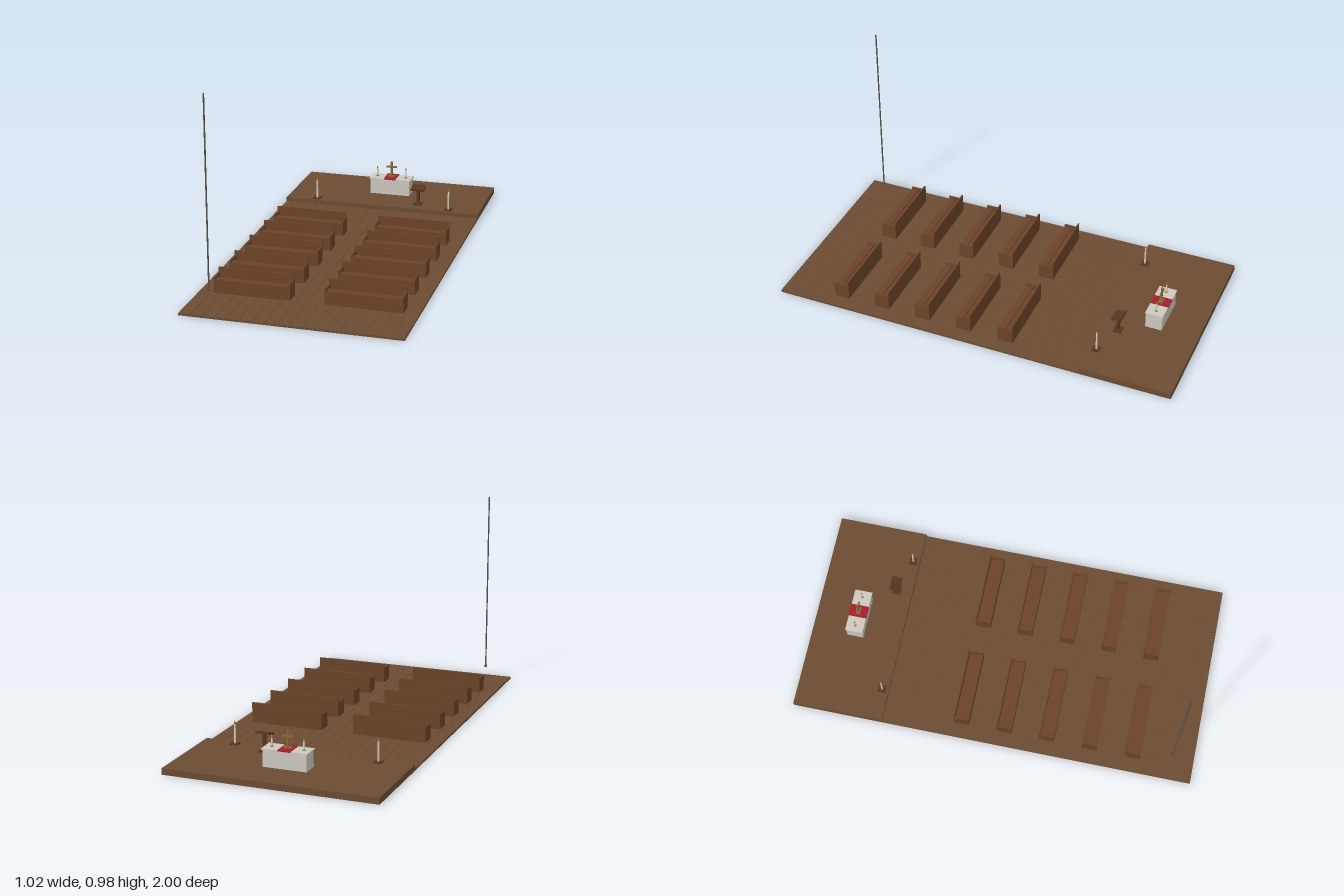
import * as THREE from 'three';

const mat = (color) => new THREE.MeshStandardMaterial({ color });
const floorWood = mat(0x6b4c32), pewWood = mat(0x6b4329), darkWood = mat(0x55371f);
const stone = mat(0xcdc8bf), cloth = mat(0xa3202a), brass = mat(0x8a6a35);
const wax = mat(0xd8d2c0), flameMat = mat(0xb87820), ropeMat = mat(0x5a554c);

function add(parent, name, geo, material, x, y, z) {
  const m = new THREE.Mesh(geo, material);
  m.name = name;
  m.position.set(x, y, z);
  parent.add(m);
  return m;
}

// Box given by its lower and upper bounds
function box(parent, name, material, x0, x1, y0, y1, z0, z1) {
  return add(parent, name, new THREE.BoxGeometry(x1 - x0, y1 - y0, z1 - z0), material,
    (x0 + x1) / 2, (y0 + y1) / 2, (z0 + z1) / 2);
}

function group(parent, name, x = 0, y = 0, z = 0) {
  const g = new THREE.Group();
  g.name = name;
  g.position.set(x, y, z);
  parent.add(g);
  return g;
}

// Bench: tall panel at the back, low front panel, seat and ledge between two ends
function makePew(parent, x, z) {
  const pew = group(parent, 'pew', x, 0.01, z);
  const half = 0.18, d = 0.038;
  box(pew, 'pewBack', pewWood, -half, half, 0, 0.098, -d, -d + 0.007);
  box(pew, 'pewSeat', pewWood, -half + 0.004, half - 0.004, 0.04, 0.047, -d + 0.007, d - 0.005);
  box(pew, 'pewFront', pewWood, -half + 0.004, half - 0.004, 0, 0.058, d - 0.006, d);
  box(pew, 'pewLedge', pewWood, -half + 0.004, half - 0.004, 0.058, 0.064, 0.002, d);
  for (const s of [-1, 1]) {
    const end = box(pew, 'pewEnd', pewWood, -0.004, 0.004, 0, 0.075, -d, d);
    end.position.x = s * (half - 0.004);
  }
}

// Candle with a drop-shaped flame
function makeCandle(parent, x, y, z, height) {
  const candle = group(parent, 'candle', x, y, z);
  add(candle, 'candleStick', new THREE.CylinderGeometry(0.004, 0.0045, height, 12), wax, 0, height / 2, 0);
  const drop = [[0, 0], [0.003, 0.003], [0.0042, 0.007], [0.0025, 0.012], [0, 0.016]]
    .map(([r, h]) => new THREE.Vector2(r, h));
  add(candle, 'flame', new THREE.LatheGeometry(drop, 10), flameMat, 0, height, 0);
  return candle;
}

export function createModel() {
  const model = new THREE.Group();
  model.name = 'chapelInterior';

  // Plank floor and raised platform
  box(model, 'floorBase', floorWood, -0.51, 0.51, 0, 0.008, -1, 1);
  const count = 18, w = 1.02 / count;
  for (let i = 0; i < count; i++) {
    const x = -0.51 + i * w;
    box(model, 'plank', floorWood, x + 0.0008, x + w - 0.0008, 0.008, 0.01, -0.55, 1);
  }
  box(model, 'platform', floorWood, -0.51, 0.51, 0.008, 0.03, -1, -0.55);

  // Two columns of pews
  for (let row = 0; row < 5; row++) {
    for (const side of [-1, 1]) makePew(model, side * 0.26, -0.16 + row * 0.215);
  }

  // Altar with cloth, cross and candles
  const altar = group(model, 'altar', 0, 0.03, -0.78);
  box(altar, 'altarBody', stone, -0.105, 0.105, 0, 0.079, -0.041, 0.041);
  box(altar, 'altarTop', stone, -0.11, 0.11, 0.079, 0.085, -0.044, 0.044);
  box(altar, 'altarCloth', cloth, -0.031, 0.031, 0.082, 0.088, -0.046, 0.046);
  box(altar, 'crossBase', brass, -0.018, 0.018, 0.088, 0.093, -0.011, 0.011);
  box(altar, 'crossUpright', brass, -0.005, 0.005, 0.093, 0.168, -0.004, 0.004);
  box(altar, 'crossBar', brass, -0.027, 0.027, 0.136, 0.145, -0.004, 0.004);
  for (const s of [-1, 1]) {
    add(altar, 'candleHolder', new THREE.CylinderGeometry(0.006, 0.007, 0.004, 12), brass, s * 0.077, 0.087, 0);
    makeCandle(altar, s * 0.077, 0.087, 0, 0.038);
  }

  // Lectern with a sloping desk
  const lectern = group(model, 'lectern', 0.18, 0.03, -0.63);
  box(lectern, 'lecternFoot', darkWood, -0.022, 0.022, 0, 0.007, -0.02, 0.02);
  box(lectern, 'lecternPost', darkWood, -0.007, 0.007, 0.007, 0.088, -0.007, 0.007);
  const desk = box(lectern, 'lecternDesk', darkWood, -0.035, 0.035, 0.084, 0.093, -0.026, 0.026);
  desk.rotation.x = 0.25;

  // Tall floor candles at the platform edge
  for (const s of [-1, 1]) {
    const stand = group(model, 'floorCandle', s * 0.35, 0.03, -0.583);
    box(stand, 'standFoot', darkWood, -0.019, 0.019, 0, 0.005, -0.019, 0.019);
    makeCandle(stand, 0, 0.005, 0, 0.091);
  }

  // Hanging rope with a knotted end
  const rope = group(model, 'hangingRope', -0.405, 0, 0.888);
  add(rope, 'rope', new THREE.CylinderGeometry(0.0035, 0.0035, 0.89, 10), ropeMat, 0, 0.538, 0);
  add(rope, 'ropeKnot', new THREE.SphereGeometry(0.008, 14, 10), ropeMat, 0, 0.09, 0);
  return model;
}
